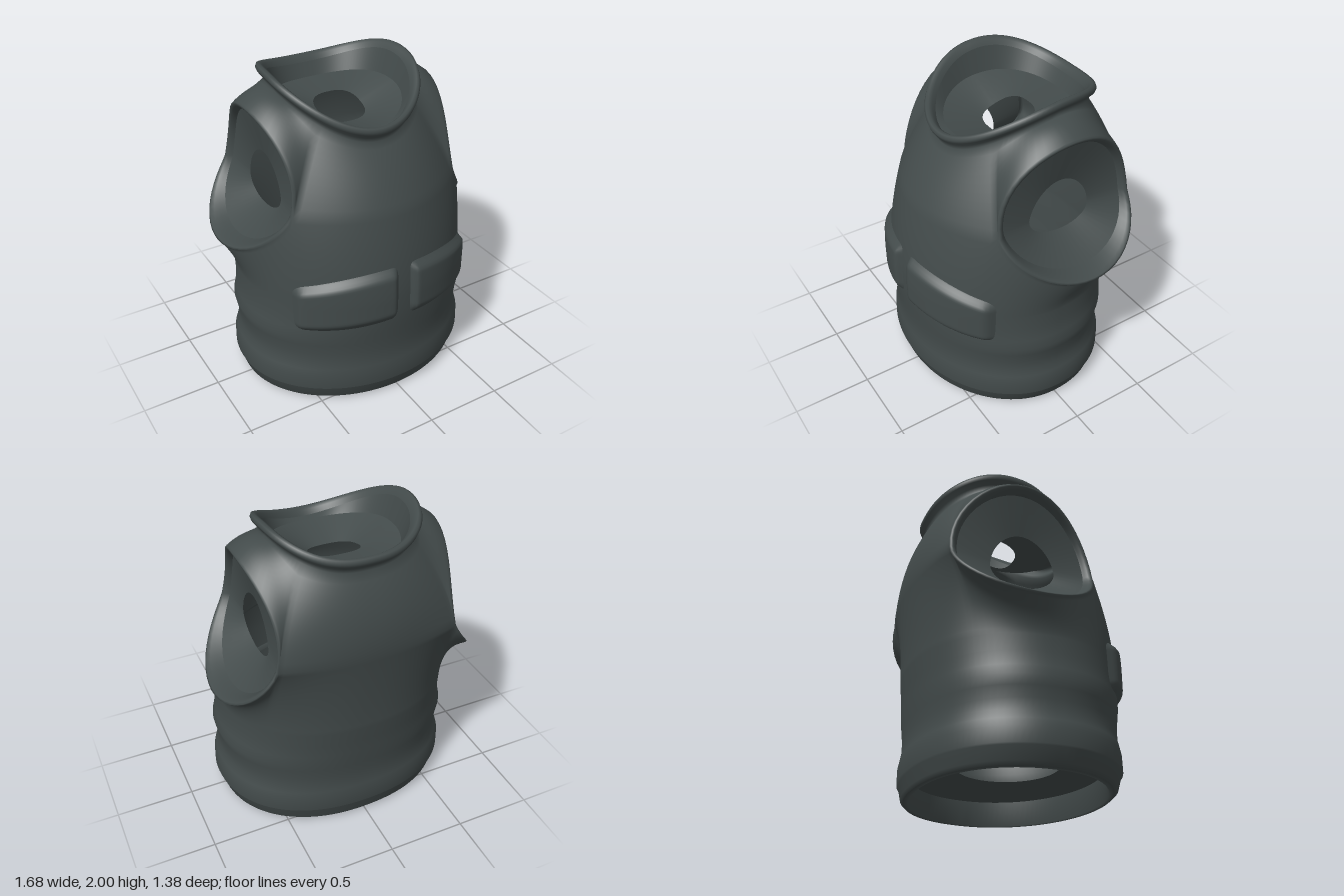
import * as THREE from 'three';
import { mergeGeometries, mergeVertices } from 'three/addons/utils/BufferGeometryUtils.js';

const RAD = Math.PI / 180, ARM = 42;
const spow = (v, p) => Math.sign(v) * Math.pow(Math.abs(v), p);
const smooth = (t) => { t = Math.min(1, Math.max(0, t)); return t * t * (3 - 2 * t); };

// Torso profile: height, half width, front z, back z
const PROFILE = [
  [0, 0.73, 0.6, -0.6], [0.02, 0.76, 0.622, -0.615], [0.1, 0.782, 0.642, -0.63],
  [0.108, 0.792, 0.652, -0.64], [0.2, 0.79, 0.65, -0.64], [0.25, 0.775, 0.642, -0.63],
  [0.3, 0.757, 0.635, -0.622], [0.37, 0.757, 0.635, -0.622], [0.44, 0.768, 0.64, -0.628],
  [0.5, 0.78, 0.645, -0.634], [0.56, 0.763, 0.65, -0.638], [0.65, 0.75, 0.655, -0.645],
  [0.75, 0.75, 0.655, -0.657],
];
// Height and depth of the chest line, and how the belly curves up to it
const CHEST = 1.3, CHEST_Z = 0.57, EASE = 1.7;

// Columns around the body: armhole, chest, armhole, back
function makeColumns() {
  const cols = [], n = 24, m = 32;
  for (const s of [1, -1]) {
    const start = s > 0 ? -ARM : 180 - ARM;
    for (let i = 0; i <= n; i++) {
      const phi = s * (-90 + 180 * i / n) * RAD;
      cols.push({ a: (start + 2 * ARM * i / n) * RAD, s, phi, k: Math.max(0, Math.cos(phi)) });
    }
    for (let i = 1; i < m; i++) {
      cols.push({ a: (start + 2 * ARM + (180 - 2 * ARM) * i / m) * RAD, s: 0, phi: 0, k: 0 });
    }
  }
  return cols;
}
const COLS = makeColumns();

// Skin between rings of equal point count
function loft(rings) {
  const n = rings[0].length, pos = rings.flat(2), index = [];
  for (let i = 0; i < rings.length - 1; i++) {
    for (let j = 0; j < n; j++) {
      const a = i * n + j, b = i * n + (j + 1) % n;
      index.push(a, a + n, b, b, a + n, b + n);
    }
  }
  return surface(pos, index);
}

function surface(pos, index) {
  const g = new THREE.BufferGeometry();
  g.setAttribute('position', new THREE.Float32BufferAttribute(pos, 3));
  g.setIndex(index);
  g.computeVertexNormals();
  return g;
}

// Unit outline, round at the front and squarer at the back
function outline(a, backPower) {
  const p = Math.sin(a) > 0 ? 1 : backPower;
  return [spow(Math.cos(a), p), spow(Math.sin(a), p)];
}

// Point on the torso cross-section
function bodyPoint(c, [y, w, zf, zb], scale = 1) {
  const [u, v] = outline(c.a, 0.9);
  return [w * scale * u, y, (zf + zb) / 2 + (zf - zb) / 2 * scale * v];
}

// Line across chest and back that splits around each armhole
function midPoint(c, upper) {
  if (c.s) {
    const k = c.k, z = -0.14 + 0.47 * Math.sin(c.phi);
    return upper
      ? [c.s * (0.565 - 0.13 * k + 0.18 * k * k), CHEST + 0.53 * k, z]
      : [c.s * (0.565 + 0.26 * k ** 1.2), CHEST - 0.345 * k, z - 0.04 * k];
  }
  const x = 0.565 * Math.cos(c.a) / Math.cos(ARM * RAD), q = 1 - (x / 0.565) ** 2;
  return [x, CHEST, Math.sin(c.a) > 0 ? 0.33 + (CHEST_Z - 0.33) * q : -0.61 - 0.083 * q];
}

// Collar ring, dipping at the front
function neckPoint(c, scale, dy) {
  const [u, v] = outline(c.a, 0.82), x = 0.47 * u, z = 0.49 * v;
  return [x * scale, 2 - 0.7 * (z + 0.1) ** 2 + dy, -0.1 + z * scale];
}

// Rings from waist to chest line
function bellyRings(from, to, steps) {
  return Array.from({ length: steps }, (_, i) => {
    const t = (i + 1) / steps, e = t ** EASE;
    return from.map((p, j) => p.map((v, axis) => v + (to[j][axis] - v) * (axis === 1 ? t : e)));
  });
}

// Rings from chest line to collar, swelling over chest, back and shoulders
function shoulderRings(from, to, steps) {
  return Array.from({ length: steps }, (_, i) => {
    const t = (i + 1) / steps, b = 4 * t * (1 - t);
    return COLS.map((c, j) => {
      const [x, y, z] = from[j].map((v, axis) => v + (to[j][axis] - v) * t);
      const o = b * (Math.sin(c.a) > 0 ? 0.015 : 0.04) * (1 - c.k);
      return [x + o * Math.cos(c.a), y + b * 0.02 * c.k, z + o * Math.sin(c.a)];
    });
  });
}

// Closed edge of one armhole, shrunk towards its centre and drawn inwards
function armLoop(s, scale, depth, dx) {
  const cols = COLS.filter((c) => c.s === s);
  const edge = cols.map((c) => midPoint(c, false))
    .concat(cols.slice(1, -1).reverse().map((c) => midPoint(c, true)));
  return edge.map(([x, y, z]) => [
    s * (0.5 + (Math.abs(x) - 0.5) * depth + dx), 1.35 + (y - 1.35) * scale, -0.14 + (z + 0.14) * scale,
  ]);
}

// Raised pocket following the curve of the belly
function pocketGeometry(s) {
  const nu = 40, nv = 28, w = 0.75, pos = [], index = [];
  for (let i = 0; i <= nv; i++) {
    for (let j = 0; j <= nu; j++) {
      const u = j / nu, v = i / nv, x = 0.025 + 0.615 * u;
      const low = 0.565 - 0.045 * u, high = 0.99 - 0.12 * u * u, y = low + (high - low) * v;
      const d = 0.654 - (0.655 - CHEST_Z) * (Math.max(0, y - 0.75) / (CHEST - 0.75)) ** EASE;
      const z = d * Math.sqrt(1 - (x / w) ** 2);
      const nx = x / (w * w), nz = z / (d * d), len = Math.hypot(nx, nz);
      const rise = smooth(u / 0.09) * smooth((1 - u) / 0.12) * smooth(v / 0.24) * smooth((1 - v) / 0.2);
      const h = -0.014 + 0.054 * rise;
      pos.push(s * (x + h * nx / len), y, z + h * nz / len);
    }
  }
  for (let i = 0; i < nv; i++) {
    for (let j = 0; j < nu; j++) {
      const a = i * (nu + 1) + j, b = a + 1, c = a + nu + 1, e = c + 1;
      if (s > 0) index.push(a, b, c, b, e, c);
      else index.push(a, c, b, b, c, e);
    }
  }
  return surface(pos, index);
}

export function createModel() {
  const group = new THREE.Group();
  const fabric = new THREE.MeshStandardMaterial({ color: 0x434b4b, side: THREE.DoubleSide });
  fabric.name = 'charcoal fabric';
  const add = (name, geometry) => {
    const mesh = new THREE.Mesh(geometry, fabric);
    mesh.name = name;
    group.add(mesh);
  };

  // Outer shell: waist and belly, shoulders and collar, armhole beads
  const waist = PROFILE.map((row) => COLS.map((c) => bodyPoint(c, row)));
  const low = COLS.map((c) => midPoint(c, false)), up = COLS.map((c) => midPoint(c, true));
  const collar = [[0.93, -0.1], [0.95, -0.07], [1, -0.045], [1.015, -0.025], [1, -0.005],
    [0.965, 0], [0.92, -0.015], [0.88, -0.045]].map(([k, dy]) => COLS.map((c) => neckPoint(c, k, dy)));
  const parts = [
    loft([...waist, ...bellyRings(waist.at(-1), low, 16)]),
    loft([up, ...shoulderRings(up, collar[0], 10), ...collar.slice(1)]),
  ];
  const beads = [[1, 1, 0], [0.985, 1.01, 0.01], [0.96, 0.98, 0.013], [0.93, 0.9, 0.01], [0.905, 0.8, 0], [0.885, 0.68, -0.005]];
  for (const s of [1, -1]) parts.push(loft(beads.map((b) => armLoop(s, ...b))));
  parts.forEach((g) => g.deleteAttribute('normal'));
  const shell = mergeVertices(mergeGeometries(parts), 1e-4);
  shell.computeVertexNormals();
  add('vestShell', shell);

  // Neck lining: short wall, then a shallow funnel tilted forwards
  const neckWall = COLS.map((c) => {
    const [x, y, z] = neckPoint(c, 0.79, 0);
    return [x, 1.745 + 0.4 * (y - 1.85), z];
  });
  const neckHole = COLS.map((c) => {
    const z = 0.142 * spow(Math.sin(c.a), 0.75);
    return [0.15 * spow(Math.cos(c.a), 0.75), 1.7 - 0.3 * z, -0.11 + z];
  });
  add('neckWall', loft([collar.at(-1), neckWall]));
  add('neckLining', loft([neckWall, neckHole]));

  // Armhole linings with an egg-shaped opening
  for (const s of [1, -1]) {
    const hole = armLoop(s, 1, 1, 0).map(([, y, z]) => {
      const u = (z + 0.14) / 0.47, v = (y - 1.3925) / 0.4375;
      return [s * 0.52, 1.335 + 0.18 * v, -0.125 + 0.205 * u * (1 - 0.1 * v)];
    });
    add(s > 0 ? 'leftArmLining' : 'rightArmLining', loft([armLoop(s, ...beads.at(-1)), hole]));
  }

  // Hem lining: inner wall and the flange above it
  const hemIn = COLS.map((c) => bodyPoint(c, PROFILE[0], 0.95));
  const hemTop = COLS.map((c) => bodyPoint(c, [0.16, 0.73, 0.6, -0.6], 0.94));
  const hemHole = COLS.map((c) => [0.34 * Math.cos(c.a), 0.21, 0.32 * Math.sin(c.a)]);
  add('hemWall', loft([hemTop, hemIn, waist[0]]));
  add('hemFlange', loft([hemHole, hemTop]));

  // Front pockets
  add('leftPocket', pocketGeometry(1));
  add('rightPocket', pocketGeometry(-1));
  return group;
}
